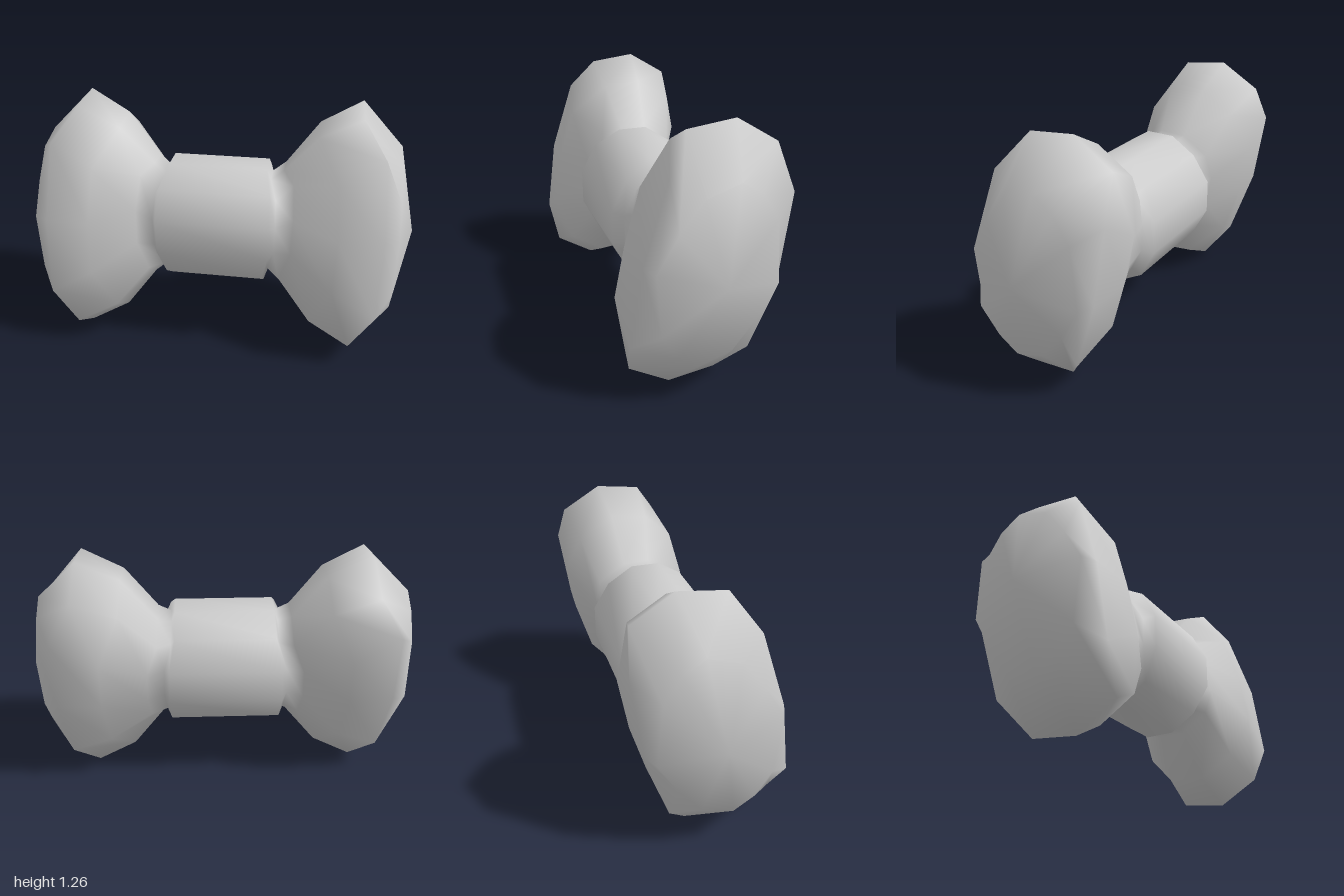
import * as THREE from 'three';

const CY = 0.635;
const SIDES = 12;

// Half an outline as [z, y] offsets; the other half is its 180 degree turn.
const turned = (half) => [...half, ...half.map(([z, y]) => [-z, -y])];

// Upright rounded outline whose flat sides reach rz and ry.
const oval = (rz, ry) => Array.from({ length: SIDES }, (_, i) => {
  const a = THREE.MathUtils.degToRad(105 - 30 * i), k = 1 / Math.cos(Math.PI / SIDES);
  return [rz * k * Math.cos(a), ry * k * Math.sin(a)];
});

// A ring sits at xTop above and below, and bends outward to xSide at front and back.
const BEND = [0, 0, 0.85, 1, 0.9, 0.05];
const ring = (xTop, xSide, outline) => outline.map(([z, y], i) =>
  [xTop + (xSide - xTop) * BEND[i % 6], CY + y, z]);

// Skin the rings in order of rising x and close both ends on a tip.
function loft(rings, startTip, endTip) {
  const points = [...rings.flat(), startTip, endTip];
  const start = points.length - 2, end = start + 1, last = start - SIDES;
  const index = [];
  for (let i = 0; i < SIDES; i++) {
    const j = (i + 1) % SIDES;
    index.push(j, i, start, last + i, last + j, end);
    for (let r = 0; r < last; r += SIDES) {
      index.push(r + i, r + j, r + j + SIDES, r + i, r + j + SIDES, r + i + SIDES);
    }
  }
  const geometry = new THREE.BufferGeometry();
  geometry.setAttribute('position', new THREE.Float32BufferAttribute(points.flat(), 3));
  geometry.setIndex(index);
  geometry.computeVertexNormals();
  return geometry;
}

export function createModel() {
  // One half, from the knot outward
  const half = [
    // Knot rim and the groove behind it
    ring(0.25, 0.285, oval(0.283, 0.32)),
    ring(0.27, 0.312, oval(0.23, 0.26)),
    // Neck of the loop
    ring(0.335, 0.40, turned([[-0.10, 0.30], [0.04, 0.305], [0.13, 0.263],
      [0.22, 0.11], [0.25, -0.06], [0.235, -0.21]])),
    // Swelling
    ring(0.50, 0.62, turned([[-0.12, 0.52], [0.075, 0.50], [0.25, 0.335],
      [0.33, 0.07], [0.375, -0.185], [0.30, -0.41]])),
    // Widest ring
    ring(0.705, 0.84, turned([[-0.145, 0.632], [0.085, 0.605], [0.20, 0.445],
      [0.32, 0.07], [0.375, -0.315], [0.345, -0.51]])),
    // Outer edge
    ring(0.91, 0.91, turned([[-0.08, 0.425], [0.075, 0.375], [0.19, 0.23],
      [0.285, 0.07], [0.26, -0.235], [0.18, -0.36]])),
  ];
  const mirrored = half.map((r) => r.map(([x, y, z]) => [-x, y, z])).reverse();

  const bow = new THREE.Mesh(
    loft([...mirrored, ...half], [-1, CY, 0], [1, CY, 0]),
    new THREE.MeshStandardMaterial({ color: 0xcccccc }));
  bow.name = 'bowLoopsAndKnot';

  const group = new THREE.Group();
  group.name = 'bow';
  group.add(bow);
  return group;
}
